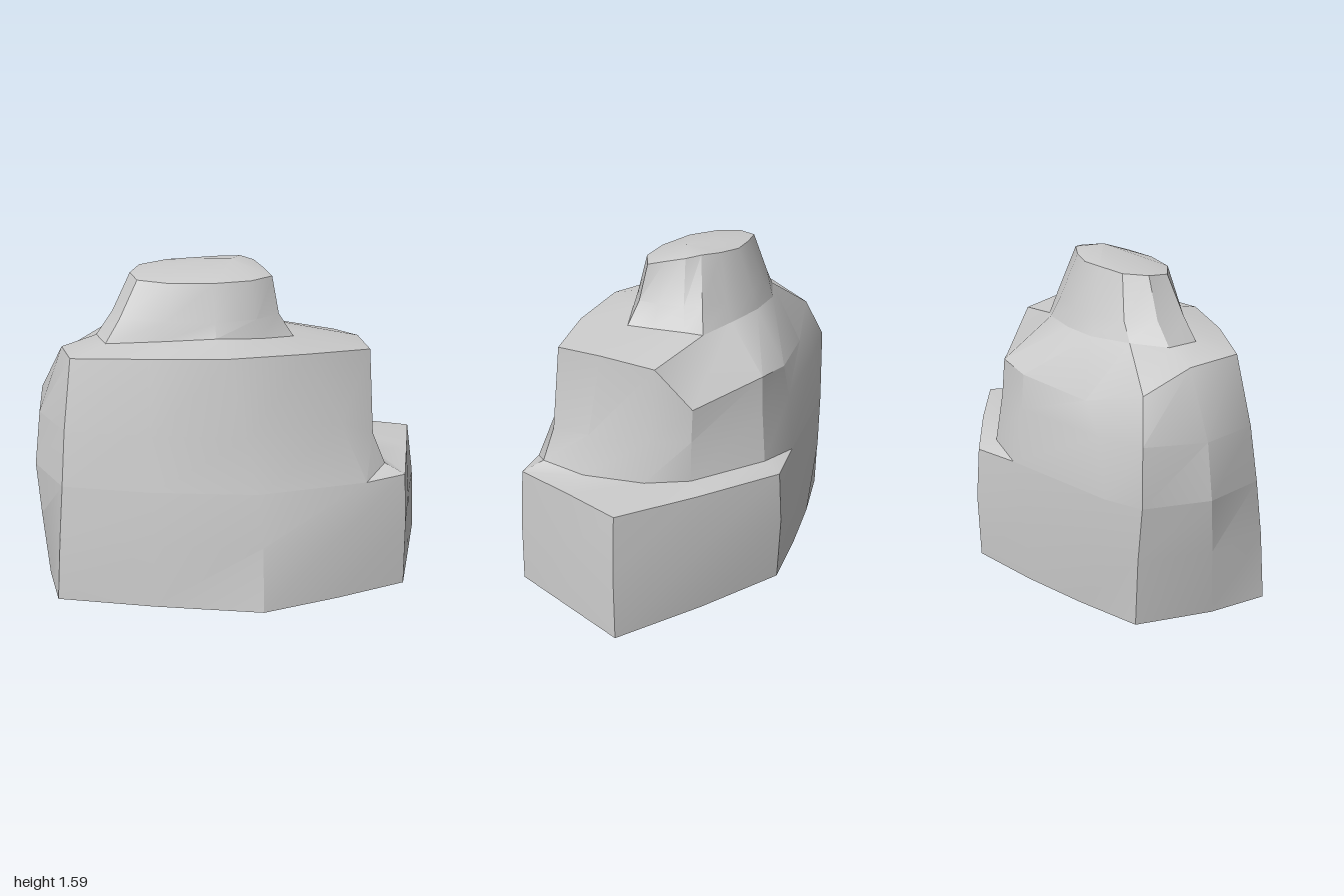
import * as THREE from 'three';
import { toCreasedNormals } from 'three/addons/utils/BufferGeometryUtils.js';

// Cross-sections run clockwise seen from above, starting at the front-left corner (+x, +z).
// Each corner is [x, z] or [x, z, own height]; y is the default height of the ring.
const ring = (y, corners) => corners.map(([x, z, h = y]) => new THREE.Vector3(x, h, z));

// Skins the rings from bottom to top, optionally closing the ends with a fan to a point.
function loft(rings, bottom, top) {
  const positions = [];
  const area = new THREE.Triangle();
  const tri = (a, b, c) => {
    if (area.set(a, b, c).getArea() > 1e-6) for (const p of [a, b, c]) positions.push(p.x, p.y, p.z);
  };
  const n = rings[0].length;
  for (let i = 0; i < n; i++) {
    const j = (i + 1) % n;
    for (let k = 0; k < rings.length - 1; k++) {
      const lo = rings[k], hi = rings[k + 1];
      tri(lo[i], hi[i], lo[j]);
      tri(lo[j], hi[i], hi[j]);
    }
    if (bottom) tri(bottom, rings[0][i], rings[0][j]);
    if (top) tri(rings.at(-1)[i], top, rings.at(-1)[j]);
  }
  const geometry = new THREE.BufferGeometry();
  geometry.setAttribute('position', new THREE.Float32BufferAttribute(positions, 3));
  return toCreasedNormals(geometry, 0.45);
}

export function createModel() {
  const group = new THREE.Group();
  group.name = 'steppedRock';
  const material = new THREE.MeshStandardMaterial({ color: 0xcccccc, roughness: 0.9 });
  const add = (name, geometry) => {
    const mesh = new THREE.Mesh(geometry, material);
    mesh.name = name;
    group.add(mesh);
  };

  // Wide base
  const ground = ring(0.01, [[0.8, 0.4], [0.45, 0.53], [0.07, 0.65], [-0.45, 0.53], [-0.91, 0.4],
    [-0.95, 0.1], [-0.92, -0.28], [-0.6, -0.41], [-0.25, -0.53], [0.11, -0.64, 0.02],
    [0.55, -0.48], [1, -0.3], [0.9, 0.05]]);
  const baseMiddle = ring(0.33, [[0.8, 0.4], [0.45, 0.52], [0.07, 0.61], [-0.45, 0.52], [-0.89, 0.39],
    [-0.98, 0.08], [-0.94, -0.28], [-0.75, -0.38], [-0.25, -0.54], [0.11, -0.655],
    [0.55, -0.48], [0.98, -0.28], [0.89, 0.05]]);
  const ledgeEdge = ring(0.59, [[0.79, 0.39], [0.59, 0.45, 0.58], [0.05, 0.57], [-0.45, 0.49], [-0.87, 0.37],
    [-1, 0.06], [-0.96, -0.27], [-0.78, -0.37], [-0.15, -0.56], [0.11, -0.64, 0.58],
    [0.55, -0.45], [0.94, -0.26, 0.6], [0.87, 0.05, 0.6]]);

  // Main body: rises from the ledge on one side, flush with the base elsewhere
  const bodyFoot = ledgeEdge.map((p) => p.clone());
  const inset = { 0: [0.7, 0.63, 0.33], 9: [0.1, 0.62, -0.55], 10: [0.46, 0.61, -0.36],
    11: [0.6, 0.61, -0.19], 12: [0.69, 0.61, 0.1] };
  for (const i in inset) bodyFoot[i].set(...inset[i]);
  const bodyMiddle = ring(0.86, [[0.64, 0.31, 0.78], [0.47, 0.39], [0, 0.51], [-0.45, 0.45], [-0.85, 0.34],
    [-0.97, 0.05], [-0.96, -0.27, 0.88], [-0.7, -0.36], [-0.17, -0.52], [0.08, -0.52],
    [0.44, -0.35, 0.8], [0.56, -0.19, 0.8], [0.64, 0.1, 0.8]]);
  const rim = ring(1.2, [[0.62, 0.28], [0.3, 0.39, 1.22], [-0.08, 0.46, 1.23], [-0.45, 0.39, 1.22], [-0.81, 0.28],
    [-0.85, 0.02, 1.18], [-0.86, -0.22, 1.08], [-0.55, -0.36, 0.99], [-0.15, -0.5, 1.02], [0.07, -0.51, 1.04],
    [0.43, -0.35, 0.96], [0.52, -0.2, 1.16], [0.6, 0.05]]);

  // Summit block
  const capFoot = ring(1.25, [[0.27, 0.13, 1.23], [0.1, 0.22], [-0.12, 0.27, 1.27], [-0.38, 0.22], [-0.64, 0.16, 1.23],
    [-0.68, 0, 1.23], [-0.6, -0.16], [-0.42, -0.27], [-0.22, -0.3], [0, -0.29],
    [0.16, -0.23, 1.22], [0.2, -0.15, 1.23], [0.24, 0, 1.23]]);
  const capMiddle = ring(1.34, [[0.2, 0.11], [0.08, 0.2], [-0.12, 0.24], [-0.36, 0.21], [-0.57, 0.13],
    [-0.6, -0.02], [-0.54, -0.16], [-0.38, -0.24], [-0.22, -0.27], [-0.02, -0.25],
    [0.12, -0.2], [0.16, -0.12], [0.19, 0]]);
  const capRim = ring(1.52, [[0.17, 0.08], [0.06, 0.16], [-0.12, 0.19], [-0.33, 0.17], [-0.48, 0.09],
    [-0.51, -0.02, 1.53], [-0.46, -0.13, 1.54], [-0.32, -0.18, 1.55], [-0.2, -0.2, 1.55], [-0.07, -0.18, 1.56],
    [0.04, -0.14, 1.57], [0.1, -0.09, 1.56], [0.14, 0, 1.54]]);

  add('base', loft([ground, baseMiddle, ledgeEdge], new THREE.Vector3(0, 0, 0)));
  add('ledgeAndBody', loft([ledgeEdge, bodyFoot, bodyMiddle, rim, capFoot]));
  add('summit', loft([capFoot, capMiddle, capRim], null, new THREE.Vector3(-0.02, 1.585, -0.02)));
  return group;
}
